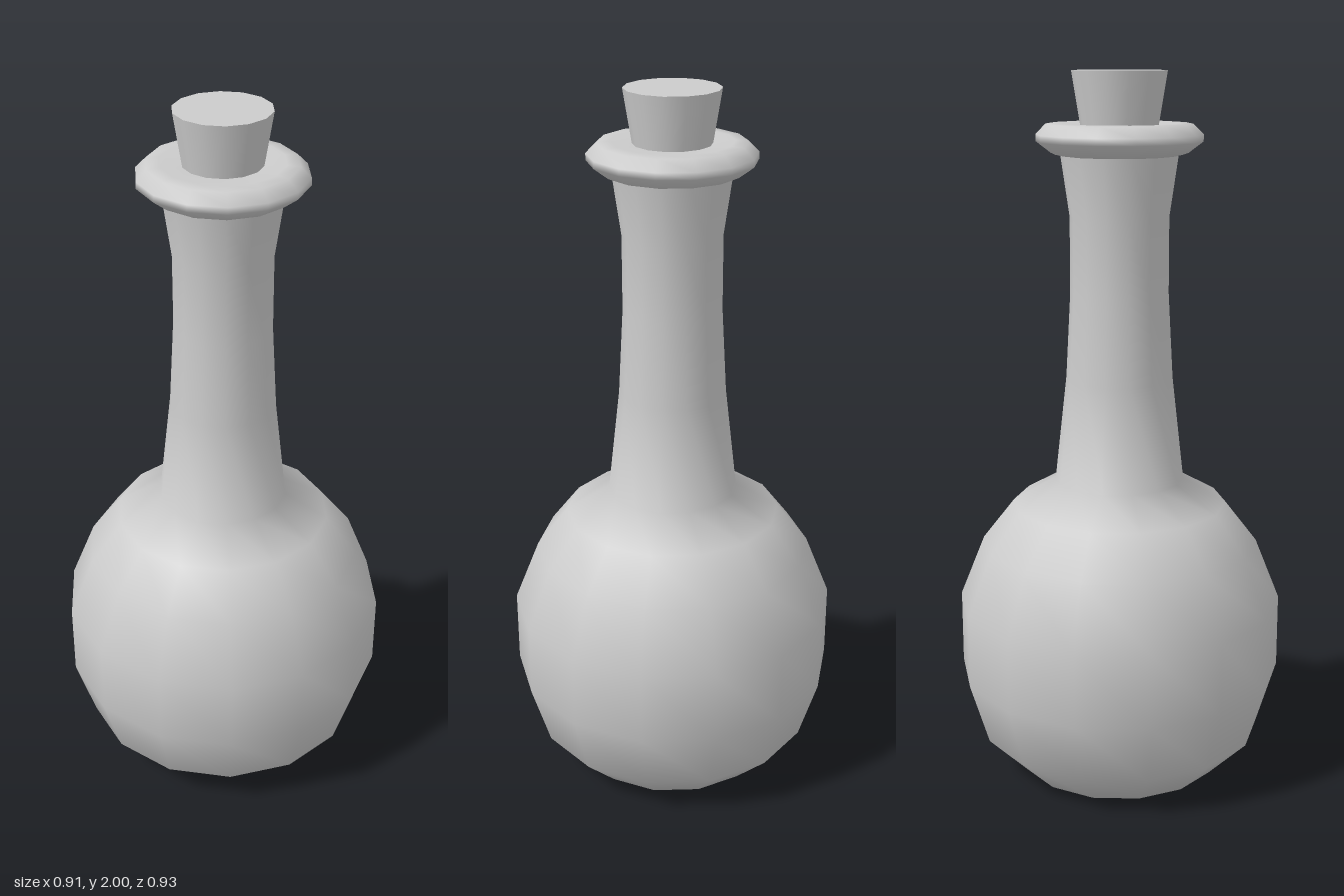
import * as THREE from 'three';

const SIDES = 14;

export function createModel() {
  const bottle = new THREE.Group();
  bottle.name = 'bottle';
  const material = new THREE.MeshStandardMaterial({ color: 0xcccccc });

  const add = (name, geometry, y = 0) => {
    const mesh = new THREE.Mesh(geometry, material);
    mesh.name = name;
    mesh.position.y = y;
    bottle.add(mesh);
  };
  const lathe = (profile) =>
    new THREE.LatheGeometry(profile.map(([r, y]) => new THREE.Vector2(r, y)), SIDES);

  // Round belly with a flat base, running smoothly into the flared neck
  add('bodyAndNeck', lathe([
    [0, 0], [0.295, 0], [0.41, 0.115], [0.465, 0.295], [0.465, 0.505],
    [0.395, 0.68], [0.305, 0.795], [0.183, 0.865], [0.15, 1.16],
    [0.137, 1.4], [0.137, 1.61], [0.163, 1.79],
  ]));

  // Rounded lip around the mouth
  add('lip', lathe([
    [0.155, 1.775], [0.187, 1.782], [0.228, 1.813], [0.228, 1.832],
    [0.2, 1.86], [0.165, 1.862], [0.09, 1.855],
  ]));

  // Tapered stopper
  add('cork', new THREE.CylinderGeometry(0.13, 0.102, 0.17, SIDES), 1.915);

  return bottle;
}
